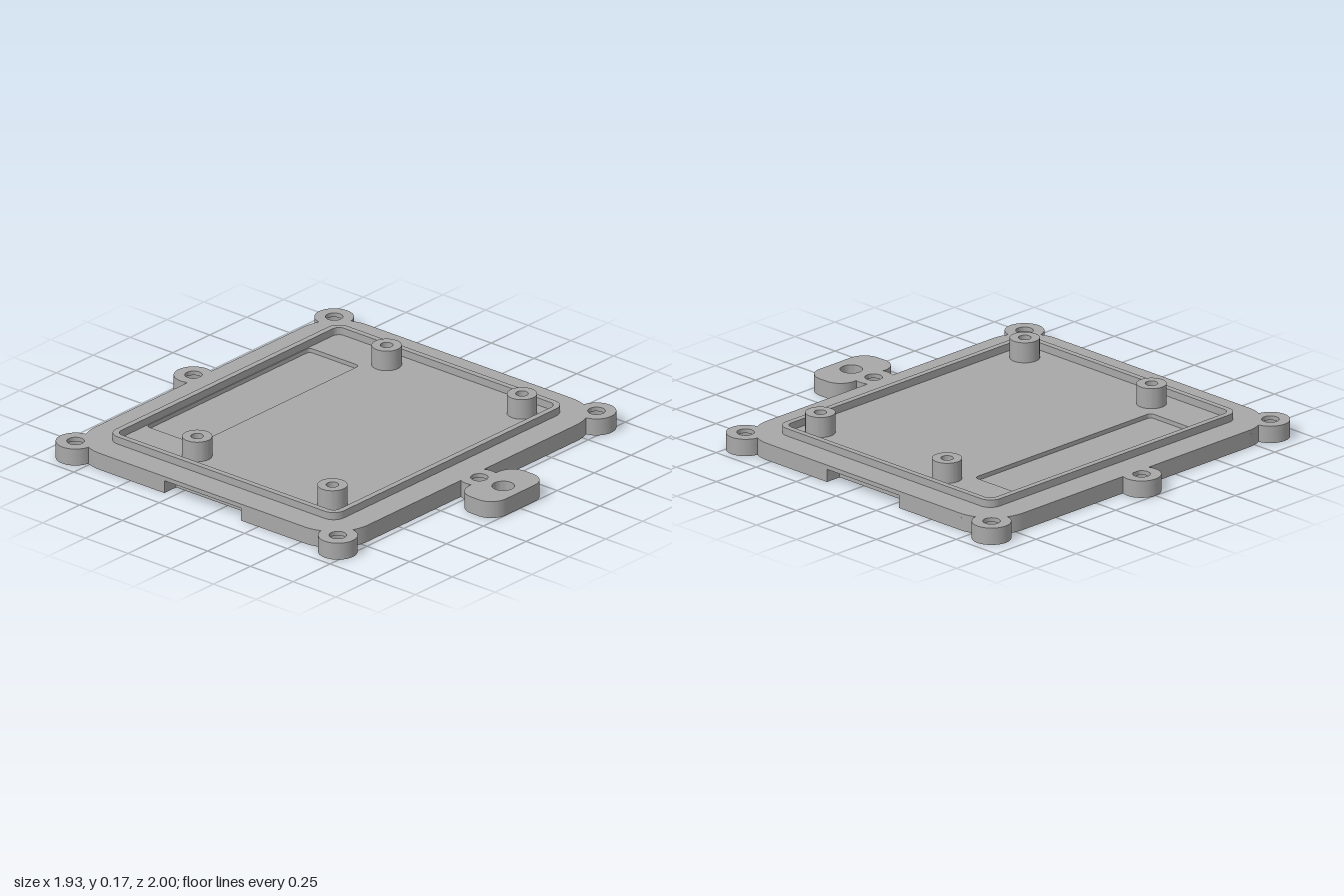
import * as THREE from 'three';
import { toCreasedNormals } from 'three/addons/utils/BufferGeometryUtils.js';

// Heights of the layers
const STEP = 0.06, TOP = 0.08, RIM = 0.115, POST = 0.175;
// Plate outline, drawn in plan with shape y = -z
const X = 0.907, BACK = 0.878, FRONT = -0.72, R = 0.2;
// Screw ears: outer radius, hole radius, counterbore radius
const EAR = 0.088, HOLE = 0.039, BORE = 0.07;
const EAR_OFFSET = 0.239;
const BACK_EAR = 0.913, FRONT_EAR = -0.76;

function roundedRect(x0, y0, x1, y1, r, path = new THREE.Shape()) {
  path.absarc(x1 - r, y1 - r, r, 0, Math.PI / 2);
  path.absarc(x0 + r, y1 - r, r, Math.PI / 2, Math.PI);
  path.absarc(x0 + r, y0 + r, r, Math.PI, Math.PI * 1.5);
  path.absarc(x1 - r, y0 + r, r, Math.PI * 1.5, Math.PI * 2);
  path.closePath();
  return path;
}

function circle(x, y, r, path = new THREE.Path()) {
  return path.absarc(x, y, r, 0, Math.PI * 2);
}

function ring(x, y, outer, inner) {
  const s = circle(x, y, outer, new THREE.Shape());
  s.holes.push(circle(x, y, inner));
  return s;
}

// Round bite out of a straight edge at height y, travelling along dir in x
function edgeBite(path, cy, y, r, dir) {
  const dy = y - cy, h = Math.sqrt(r * r - dy * dy);
  path.absarc(0, cy, r, Math.atan2(dy, -dir * h), Math.atan2(dy, dir * h), true);
}

// Lower layer outline: side notches and bites for the counterbores
function lowerOutline() {
  const s = new THREE.Shape();
  const a = Math.acos((EAR_OFFSET ** 2 + R * R - BORE * BORE) / (2 * EAR_OFFSET * R));
  const d = Math.atan2(R * Math.sin(a), EAR_OFFSET - R * Math.cos(a));
  const corner = (cx, cy, m) => {
    const q = Math.PI / 4;
    s.absarc(cx, cy, R, m - q, m - a);
    s.absarc(cx + EAR_OFFSET * Math.cos(m), cy + EAR_OFFSET * Math.sin(m), BORE,
      m + Math.PI + d, m + Math.PI - d, true);
    s.absarc(cx, cy, R, m + a, m + q);
  };
  const notch = (side, from, to) => {
    const inner = side * (X - 0.08);
    s.lineTo(side * X, from);
    s.lineTo(inner, from);
    s.lineTo(inner, to);
    s.lineTo(side * X, to);
  };
  s.moveTo(X, FRONT + R);
  notch(1, -0.15, 0.3);
  corner(X - R, BACK - R, Math.PI * 0.25);
  edgeBite(s, BACK_EAR, BACK, BORE, -1);
  corner(-X + R, BACK - R, Math.PI * 0.75);
  notch(-1, 0.3, -0.15);
  corner(-X + R, FRONT + R, Math.PI * 1.25);
  edgeBite(s, FRONT_EAR, FRONT, BORE, 1);
  corner(X - R, FRONT + R, Math.PI * 1.75);
  s.closePath();
  return s;
}

// Hanging tab with a bite that leaves the front ear's bore clear
function tabOutline(bite) {
  const w = 0.183, y0 = -1, y1 = -0.785, r = 0.085;
  const s = new THREE.Shape();
  s.absarc(w - r, y1 - r, r, 0, Math.PI / 2);
  edgeBite(s, FRONT_EAR, y1, bite, -1);
  s.absarc(-w + r, y1 - r, r, Math.PI / 2, Math.PI);
  s.absarc(-w + r, y0 + r, r, Math.PI, Math.PI * 1.5);
  s.absarc(w - r, y0 + r, r, Math.PI * 1.5, Math.PI * 2);
  s.closePath();
  s.holes.push(circle(0, -0.9, 0.05));
  return s;
}

export function createModel() {
  const model = new THREE.Group();
  model.name = 'mountingCover';
  const grey = new THREE.MeshStandardMaterial({ color: 0xa8a8a8 });
  grey.name = 'grey';

  const slab = (name, shape, y0, y1) => {
    const flat = new THREE.ExtrudeGeometry(shape, { depth: y1 - y0, bevelEnabled: false, curveSegments: 24 });
    flat.rotateX(-Math.PI / 2).translate(0, y0, 0);
    const mesh = new THREE.Mesh(toCreasedNormals(flat, 0.6), grey);
    mesh.name = name;
    model.add(mesh);
  };

  // Plate in two layers, with a shallow window recess in the upper one
  slab('plateLower', lowerOutline(), 0, STEP);
  const upper = roundedRect(-X, FRONT, X, BACK, R);
  upper.holes.push(roundedRect(-0.553, 0.42, 0.553, 0.713, 0.02, new THREE.Path()));
  slab('plateUpper', upper, STEP, TOP);

  // Raised rim
  const rim = roundedRect(-0.78, -0.59, 0.78, 0.745, 0.06);
  rim.holes.push(roundedRect(-0.752, -0.562, 0.752, 0.717, 0.035, new THREE.Path()));
  slab('rim', rim, TOP, RIM);

  // Screw ears, counterbored from below
  const e = EAR_OFFSET * Math.SQRT1_2 - R;
  const ears = [[0, BACK_EAR], [0, FRONT_EAR]];
  for (const side of [-1, 1]) ears.push([side * (X + e), BACK + e], [side * (X + e), FRONT - e]);
  for (const [x, y] of ears) {
    slab('earLower', ring(x, y, EAR, BORE), 0, STEP);
    slab('earUpper', ring(x, y, EAR, HOLE), STEP, TOP);
  }

  // Hanging tab
  slab('tabLower', tabOutline(BORE), 0, STEP);
  slab('tabUpper', tabOutline(HOLE), STEP, TOP);

  // Standoff posts
  for (const x of [-0.642, 0.642])
    for (const y of [0.337, -0.455]) slab('post', ring(x, y, 0.067, 0.028), TOP, POST);

  return model;
}
